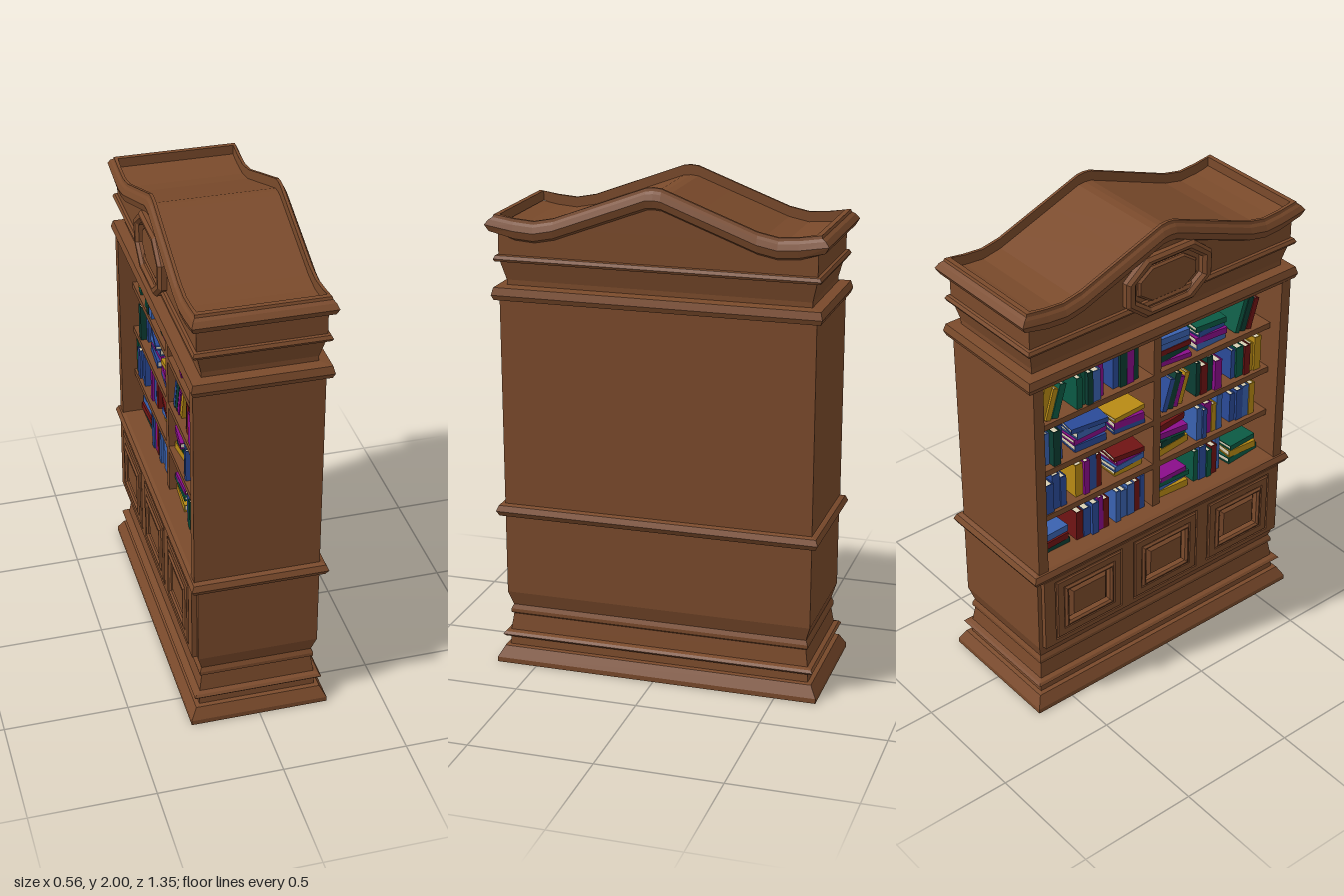
import * as THREE from 'three';

const mat = (color, side = THREE.FrontSide) => new THREE.MeshStandardMaterial({ color, side, flatShading: true });
const wood = mat(0x7a4a2b);
const paper = mat(0xd8cfb4);
const covers = [0x0b5a44, 0x8a0d8a, 0x3a62b0, 0x701414, 0xb88a14, 0x0b3d33, 0x2a4a98].map((c) => mat(c));

let seed = 7;
const rnd = (a = 0, b = 1) => {
  seed = (seed * 16807) % 2147483647;
  return a + (b - a) * (seed / 2147483647);
};

function add(parent, name, geometry, material = wood) {
  const mesh = new THREE.Mesh(geometry, material);
  mesh.name = name;
  parent.add(mesh);
  return mesh;
}

// Box given by its limits on each axis
function slab(parent, name, x0, x1, y0, y1, z0, z1, material) {
  const m = add(parent, name, new THREE.BoxGeometry(x1 - x0, y1 - y0, z1 - z0), material);
  m.position.set((x0 + x1) / 2, (y0 + y1) / 2, (z0 + z1) / 2);
  return m;
}

// Surface through a list of closed loops
function skin(rows) {
  const pos = [];
  for (let i = 0; i + 1 < rows.length; i++) {
    const n = rows[i].length;
    for (let j = 0; j < n; j++) {
      const k = (j + 1) % n;
      const a = rows[i][j], b = rows[i][k], c = rows[i + 1][k], d = rows[i + 1][j];
      pos.push(...a, ...b, ...c, ...a, ...c, ...d);
    }
  }
  const g = new THREE.BufferGeometry();
  g.setAttribute('position', new THREE.Float32BufferAttribute(pos, 3));
  g.computeVertexNormals();
  return g;
}

// Rectangular carcass whose half width follows a moulding profile [halfZ, y]
function carcass(profile) {
  return skin(profile.map(([hz, y]) => {
    const hx = hz ? hz - 0.388 : 0;
    return [[-hx, y, hz], [hx, y, hz], [hx, y, -hz], [-hx, y, -hz]];
  }));
}

// Outline in (z, y), extruded from x = back towards the open side (-x)
function plate(parent, name, points, holes, back, front, bevel = 0) {
  const v = (list) => list.map(([z, y]) => new THREE.Vector2(z, y));
  const shape = new THREE.Shape(v(points));
  holes.forEach((h) => shape.holes.push(new THREE.Path(v(h))));
  const g = new THREE.ExtrudeGeometry(shape, {
    depth: back - front - bevel, bevelEnabled: bevel > 0, bevelSize: bevel,
    bevelThickness: bevel, bevelOffset: -bevel, bevelSegments: 1,
  });
  g.rotateY(-Math.PI / 2);
  g.translate(back, 0, 0);
  return add(parent, name, g);
}
const rect = (z0, z1, y0, y1) => [[z0, y0], [z1, y0], [z1, y1], [z0, y1]];

// Height of the curved crown along z
const crownPts = [[0, 2], [0.03, 1.997], [0.16, 1.948], [0.32, 1.888], [0.4, 1.858], [0.48, 1.842], [0.56, 1.848], [0.64, 1.86]];
const crownLine = [...crownPts.slice(1).map(([z, y]) => [-z, y]).reverse(), ...crownPts];

// Book standing on its bottom edge, spine towards -x
function book(d, h, t) {
  const g = new THREE.Group();
  g.name = 'book';
  const cover = covers[Math.floor(rnd(0, covers.length))];
  const c = Math.min(0.004, t / 5);
  slab(g, 'spine', -d / 2, -d / 2 + c, 0, h, -t / 2, t / 2, cover);
  for (const s of [-1, 1]) {
    const z = s * (t / 2 - c / 2);
    slab(g, 'cover', -d / 2 + c, d / 2, 0, h, z - c / 2, z + c / 2, cover);
  }
  slab(g, 'pages', -d / 2 + c, d / 2 - 0.006, 0.005, h - 0.005, -t / 2 + c, t / 2 - c, paper);
  return g;
}

// U = upright row, L = leaning row, S = lying stack
function fillShelf(parent, plan, y, z0, z1) {
  const room = (z1 - z0) / plan.length;
  [...plan].forEach((kind, i) => {
    let z = z0 + room * i + 0.01;
    const end = z0 + room * (i + 1) - 0.02;
    if (kind === 'S') {
      let top = y;
      const count = Math.floor(rnd(3, 6));
      for (let k = 0; k < count; k++) {
        const h = Math.min(rnd(0.13, 0.17), room - 0.02), t = rnd(0.02, 0.032);
        const b = book(rnd(0.11, 0.14), h, t);
        b.rotation.set(Math.PI / 2, rnd(-0.12, 0.12), 0, 'YXZ');
        b.position.set(-0.11, top + t / 2, z + (end - z - h) / 2);
        parent.add(b);
        top += t;
      }
      return;
    }
    const tilt = kind === 'L' ? 0.3 : 0;
    if (tilt) z += 0.01;
    while (true) {
      const t = rnd(0.02, 0.038), h = rnd(0.13, 0.165);
      const step = t / Math.cos(tilt) + 0.001;
      if (z + step + h * Math.sin(tilt) > end) break;
      const b = book(rnd(0.11, 0.14), h, t);
      b.rotation.x = tilt;
      b.position.set(-0.12 + rnd(-0.01, 0.01), y + (t / 2) * Math.sin(tilt), z + step / 2);
      parent.add(b);
      z += step;
    }
  });
}

export function createModel() {
  const model = new THREE.Group();
  model.name = 'bookcase';

  // Plinth and cupboard body
  add(model, 'lowerCarcass', carcass([
    [0, 0.01], [0.635, 0.01], [0.635, 0], [0.667, 0], [0.667, 0.02], [0.642, 0.065], [0.625, 0.068], [0.622, 0.105],
    [0.64, 0.108], [0.648, 0.117], [0.64, 0.127], [0.622, 0.132], [0.612, 0.2], [0.62, 0.207], [0.62, 0.222],
    [0.612, 0.24], [0.63, 0.3], [0.63, 0.632], [0.648, 0.634], [0.66, 0.655], [0.65, 0.678], [0.635, 0.683], [0, 0.683],
  ]));

  // Cornice and frieze
  add(model, 'upperCarcass', carcass([
    [0, 1.525], [0.648, 1.525], [0.656, 1.545], [0.648, 1.575], [0.607, 1.58], [0.607, 1.6], [0.626, 1.675],
    [0.642, 1.677], [0.647, 1.687], [0.64, 1.7], [0.63, 1.703], [0.63, 1.785], [0, 1.785],
  ]));

  // Gable and curved roof
  const roof = crownLine.map(([z, y]) => [Math.sign(z) * Math.min(Math.abs(z), 0.63), y - 0.04]);
  plate(model, 'gableRoof', [[-0.63, 1.78], [0.63, 1.78], ...roof.slice().reverse()], [], 0.242, -0.242);

  // Crown moulding following the roof curve on all four sides
  const last = crownLine.length - 1;
  const crownProfile = [[0, -0.085], [0.03, -0.075], [0.045, -0.045], [0.03, -0.022], [0.016, -0.012], [0.012, 0], [-0.008, 0], [-0.008, -0.045]];
  add(model, 'crownMoulding', skin(crownProfile.map(([o, dy]) => {
    const hx = 0.242 + o * 0.6;
    const side = crownLine.map(([z, y], i) => [hx, y + dy * (i === 0 || i === last ? 0.85 : 1),
      i === 0 ? -0.63 - o : i === last ? 0.63 + o : z]);
    return [...side.slice().reverse(), ...side.map(([x, y, z]) => [-x, y, z])];
  })));

  // Medallion on the gable
  const octagon = (a, b) => [[-a, -b * 0.4], [-a * 0.55, -b], [a * 0.55, -b], [a, -b * 0.4],
    [a, b * 0.4], [a * 0.55, b], [-a * 0.55, b], [-a, b * 0.4]].map(([z, y]) => [z, y + 1.767]);
  plate(model, 'medallionFrame', octagon(0.205, 0.125), [octagon(0.16, 0.09)], -0.2, -0.274, 0.012);
  plate(model, 'medallionPanel', octagon(0.14, 0.074), [], -0.2, -0.256, 0.008);

  // Open shelf section
  slab(model, 'backPanel', 0.2, 0.242, 0.68, 1.53, -0.63, 0.63);
  for (const s of [-1, 1]) {
    const z = s * 0.6075;
    slab(model, 'sidePanel', -0.242, 0.2, 0.68, 1.53, z - 0.0225, z + 0.0225);
    slab(model, 'frontStile', -0.256, -0.242, 0.68, 1.53, z - 0.0225, z + 0.0225);
  }
  slab(model, 'centreDivider', -0.2, 0.2, 0.68, 1.53, -0.018, 0.018);
  const pitch = 0.21;
  for (let i = 1; i < 4; i++) {
    const y = 0.683 + i * pitch;
    for (const s of [-1, 1]) slab(model, 'shelf', -0.2, 0.2, y - 0.025, y, s * 0.3015 - 0.2835, s * 0.3015 + 0.2835);
  }

  // Books, listed from the bottom shelf up
  const books = new THREE.Group();
  books.name = 'books';
  model.add(books);
  const plans = [['SUU', 'SUS'], ['UUS', 'SUU'], ['USS', 'LUU'], ['LUU', 'SSL']];
  plans.forEach(([a, b], i) => {
    fillShelf(books, a, 0.683 + i * pitch, -0.585, -0.018);
    fillShelf(books, b, 0.683 + i * pitch, 0.018, 0.585);
  });

  // Cupboard face with three panelled doors
  const centres = [-0.392, 0, 0.392];
  plate(model, 'cupboardFace', rect(-0.612, 0.612, 0.3, 0.632),
    centres.map((c) => rect(c - 0.168, c + 0.168, 0.32, 0.612)), -0.23, -0.262);
  for (const c of centres) {
    const inset = (d) => rect(c - 0.168 + d, c + 0.168 - d, 0.32 + d, 0.612 - d);
    plate(model, 'doorFrame', inset(0.006), [inset(0.045)], -0.23, -0.266, 0.005);
    plate(model, 'doorMoulding', inset(0.045), [inset(0.066)], -0.23, -0.272, 0.008);
    plate(model, 'doorPanel', inset(0.075), [], -0.23, -0.264, 0.014);
  }
  return model;
}
